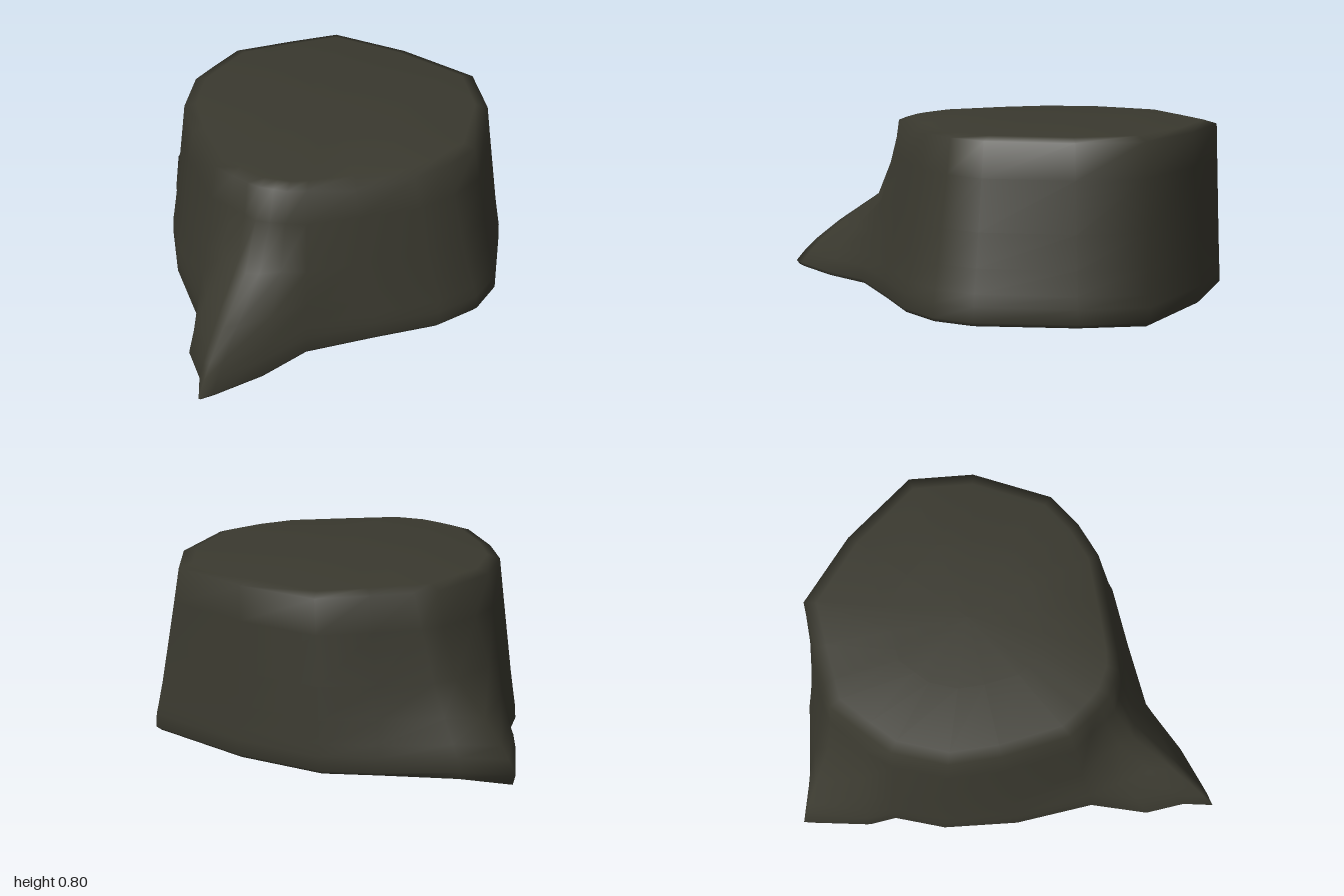
import * as THREE from 'three';

// Matching corners of the ground outline and the cut rim: [baseX, baseZ, rimX, rimZ]
const outline = [
  [0.06, 1.0, 0.06, 0.42], [0.10, 0.95, 0.12, 0.41], [0.23, 0.75, 0.18, 0.40], [0.33, 0.52, 0.25, 0.36],
  [0.56, 0.30, 0.42, 0.23], [0.78, 0.10, 0.62, 0.07], [0.89, -0.08, 0.71, -0.08], [0.91, -0.26, 0.77, -0.25],
  [0.79, -0.66, 0.70, -0.61], [0.65, -0.91, 0.54, -0.85], [0.16, -0.99, 0.16, -0.94], [-0.23, -0.97, -0.20, -0.95],
  [-0.44, -0.87, -0.36, -0.80], [-0.72, -0.70, -0.49, -0.67], [-0.92, -0.61, -0.56, -0.60], [-0.79, -0.35, -0.59, -0.42],
  [-0.70, -0.25, -0.61, -0.27], [-0.63, -0.03, -0.54, -0.03], [-0.45, 0.25, -0.40, 0.15], [-0.21, 0.51, -0.18, 0.36],
  [-0.12, 0.75, -0.08, 0.39], [0.0, 0.88, 0.0, 0.41],
];

// Flare of the wall by height: [y, straight side, root spur]
const levels = [
  [0.05, 1, 1], [0.11, 0.96, 0.91], [0.16, 0.87, 0.82], [0.26, 0.7, 0.6],
  [0.4, 0.5, 0.24], [0.61, 0.2, 0.06], [0.755, 0, 0],
];

function stumpGeometry() {
  const n = outline.length;
  const positions = [], index = [];
  const center = [0.07, -0.28];

  // Bottom lip, curled slightly inward; the side root dips to the ground
  outline.forEach(([x, z], i) => {
    const dip = i === 14 ? 0 : i === 13 || i === 15 ? 0.015 : 0.032;
    positions.push(x * 0.98, dip, z * 0.98);
  });

  // Wall rings: roots are concave, plain sides nearly straight
  for (const [y, side, spur] of levels) {
    outline.forEach(([bx, bz, tx, tz], i) => {
      const root = THREE.MathUtils.clamp((Math.hypot(bx - tx, bz - tz) - 0.18) / 0.16, 0, 1);
      const w = THREE.MathUtils.lerp(side, spur, root);
      const chip = y > 0.7 && i === 4 ? 0.03 : 0;
      positions.push(tx + (bx - tx) * w, y - chip, tz + (bz - tz) * w);
    });
  }

  // Slightly domed cut top
  for (const [scale, y] of [[0.92, 0.772], [0.5, 0.795]]) {
    for (const [, , x, z] of outline) {
      positions.push(center[0] + (x - center[0]) * scale, y, center[1] + (z - center[1]) * scale);
    }
  }
  positions.push(center[0], 0.8, center[1]);

  const rings = levels.length + 3;
  for (let r = 0; r < rings - 1; r++) {
    for (let i = 0; i < n; i++) {
      const j = (i + 1) % n;
      const a = r * n + i, b = r * n + j, c = a + n, d = b + n;
      index.push(a, b, d, a, d, c);
    }
  }
  const last = (rings - 1) * n;
  for (let i = 0; i < n; i++) index.push(last + i, last + (i + 1) % n, rings * n);

  const geometry = new THREE.BufferGeometry();
  geometry.setAttribute('position', new THREE.Float32BufferAttribute(positions, 3));
  geometry.setIndex(index);
  geometry.computeVertexNormals();
  return geometry;
}

export function createModel() {
  const group = new THREE.Group();
  group.name = 'treeStump';

  // Hollow shell, open underneath
  const bark = new THREE.MeshStandardMaterial({ color: 0x3a392f, side: THREE.DoubleSide });
  bark.name = 'dark bark';
  const stump = new THREE.Mesh(stumpGeometry(), bark);
  stump.name = 'stump';
  group.add(stump);
  return group;
}
